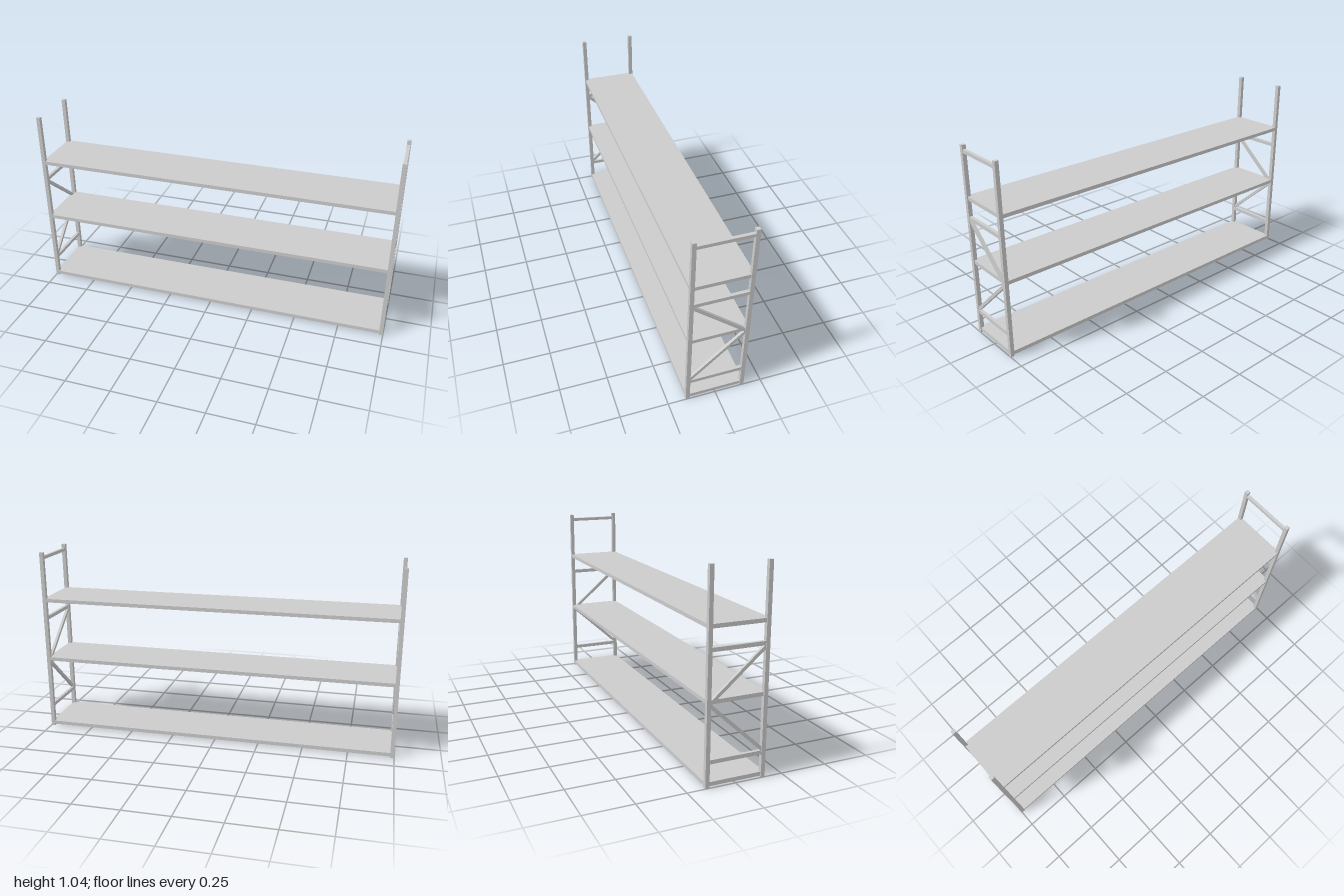
import * as THREE from 'three';

const material = new THREE.MeshStandardMaterial({ color: 0xcccccc, flatShading: true });

const HEIGHT = 1.04;
const POST = 0.021;
const POST_X = 1 - POST / 2;
const POST_Z = 0.157 - POST / 2;
const BAR = 0.017;
const INNER_Z = POST_Z - POST / 2;

function box(name, w, h, d, x, y, z) {
  const mesh = new THREE.Mesh(new THREE.BoxGeometry(w, h, d), material);
  mesh.name = name;
  mesh.position.set(x, y, z);
  return mesh;
}

// Slanted bar in an end frame, from (y0, z0) to (y1, z1)
function diagonal(name, x, y0, z0, y1, z1) {
  const length = Math.hypot(y1 - y0, z1 - z0);
  const mesh = box(name, BAR - 0.002, BAR, length, x, (y0 + y1) / 2, (z0 + z1) / 2);
  mesh.rotation.x = -Math.atan2(y1 - y0, z1 - z0);
  return mesh;
}

// Two posts joined by cross bars and a K-shaped pair of diagonals
function endFrame(side) {
  const frame = new THREE.Group();
  frame.name = side > 0 ? 'leftEndFrame' : 'rightEndFrame';
  const x = side * POST_X;
  for (const s of [1, -1]) {
    frame.add(box(s > 0 ? 'frontPost' : 'backPost', POST, HEIGHT, POST, x, HEIGHT / 2, s * POST_Z));
  }
  for (const y of [0.128, 0.66]) {
    frame.add(box('crossBar', BAR, 0.02, 2 * INNER_Z, x, y, 0));
  }
  // Only one end carries the top guard bar
  if (side > 0) frame.add(box('topBar', BAR, 0.018, 2 * INNER_Z, x, 1.009, 0));
  frame.add(diagonal('upperDiagonal', x, 0.645, INNER_Z + 0.003, 0.408, -INNER_Z - 0.003));
  frame.add(diagonal('lowerDiagonal', x, 0.143, INNER_Z + 0.003, 0.4, -INNER_Z - 0.003));
  return frame;
}

export function createModel() {
  const model = new THREE.Group();
  model.name = 'storageRack';
  model.add(endFrame(1), endFrame(-1));

  // Shelf boards run the full length, just inside the outer post faces
  for (const y of [0.018, 0.417, 0.766]) {
    model.add(box('shelf', 1.99, 0.02, 0.31, 0, y, 0));
  }
  return model;
}
